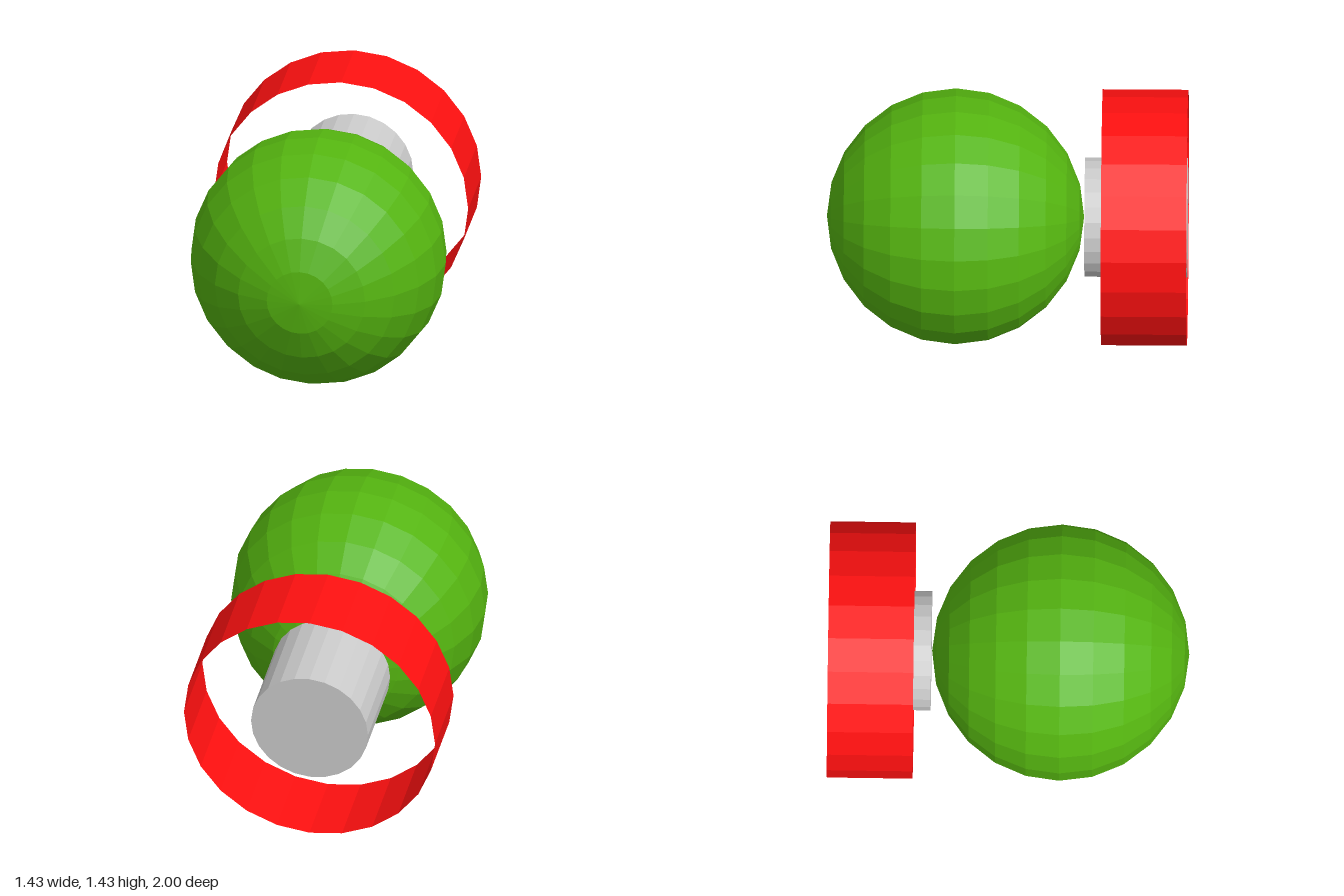
import * as THREE from 'three';

const RADIUS = 0.713;
const SIDES = 24;

function material(color, side = THREE.FrontSide) {
  return new THREE.MeshStandardMaterial({ color, side, flatShading: true });
}

// Cylinder lying along z between two depths
function cylinderAlongZ(radius, zFront, zBack, open) {
  return new THREE.CylinderGeometry(radius, radius, zFront - zBack, SIDES, 1, open)
    .rotateX(Math.PI / 2)
    .translate(0, RADIUS, (zFront + zBack) / 2);
}

export function createModel() {
  const model = new THREE.Group();

  function add(name, geometry, mat) {
    const mesh = new THREE.Mesh(geometry, mat);
    mesh.name = name;
    model.add(mesh);
  }

  // Faceted ball with its poles on the z axis
  const ball = new THREE.SphereGeometry(RADIUS, SIDES, 12)
    .rotateX(Math.PI / 2)
    .translate(0, RADIUS, 1 - RADIUS);
  add('ball', ball, material(0x55b510));

  // Solid shaft from the ball to the back
  add('shaft', cylinderAlongZ(0.332, -0.43, -1, false), material(0xcccccc));

  // Thin open ring around the shaft
  add('ring', cylinderAlongZ(RADIUS, -0.525, -1, true), material(0xff1010, THREE.DoubleSide));

  return model;
}
